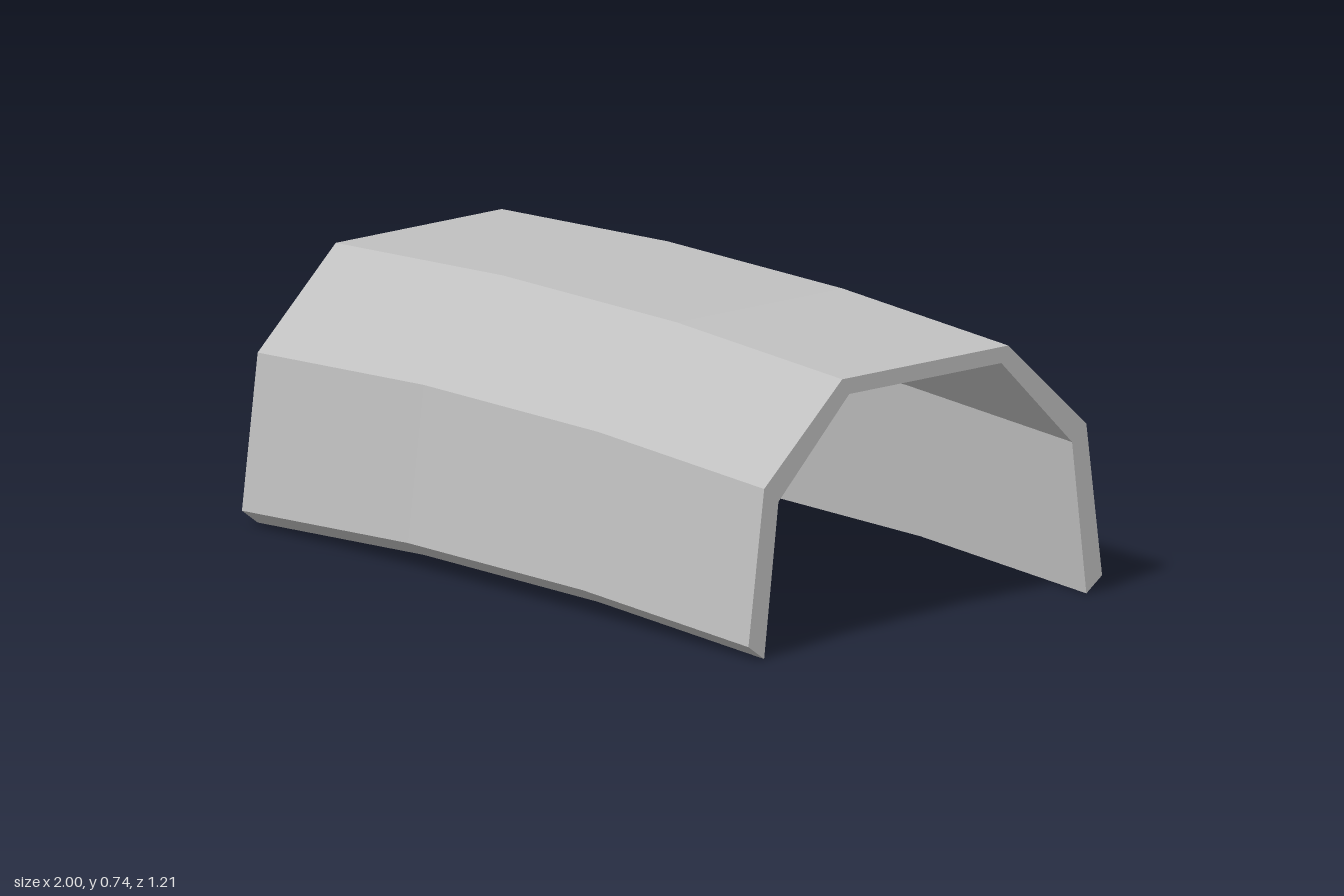
import * as THREE from 'three';

// Half cross-section as [z, y], from the foot to the roof
const OUTER = [[0.607, 0.042], [0.553, 0.455], [0.285, 0.705]];
const INNER = [[0.553, 0.002], [0.504, 0.413], [0.261, 0.662]];
// Stations along the length as [x, lift]: the cover bows up in the middle
const STATIONS = [[-1, 0], [-0.345, 0.033], [0.345, 0.033], [1, 0]];

const mirrored = (half) => [...half, ...half.map(([z, y]) => [-z, y]).reverse()];

function shellGeometry() {
  const outer = mirrored(OUTER);
  const inner = mirrored(INNER).reverse();
  const loop = [...outer, ...inner];
  const n = loop.length;
  const positions = [];
  const point = (i, j) => {
    const [x, lift] = STATIONS[i];
    const [z, y] = loop[j % n];
    return [x, y + lift, z];
  };
  const quad = (a, b, c, d) => positions.push(...a, ...b, ...c, ...a, ...c, ...d);

  // Outside, inside and foot edges
  for (let i = 0; i < STATIONS.length - 1; i++) {
    for (let j = 0; j < n; j++) {
      quad(point(i, j), point(i + 1, j), point(i + 1, j + 1), point(i, j + 1));
    }
  }
  // End rims
  const last = STATIONS.length - 1;
  for (let j = 0; j < outer.length - 1; j++) {
    const ring = [j, j + 1, n - 2 - j, n - 1 - j];
    quad(...ring.map((k) => point(0, k)));
    quad(...ring.reverse().map((k) => point(last, k)));
  }

  const geometry = new THREE.BufferGeometry();
  geometry.setAttribute('position', new THREE.Float32BufferAttribute(positions, 3));
  geometry.computeVertexNormals();
  return geometry;
}

export function createModel() {
  const group = new THREE.Group();
  group.name = 'archedCover';

  const grey = new THREE.MeshStandardMaterial({ color: 0xc0c0c0, flatShading: true });
  grey.name = 'light grey';

  const shell = new THREE.Mesh(shellGeometry(), grey);
  shell.name = 'archShell';
  group.add(shell);
  return group;
}
